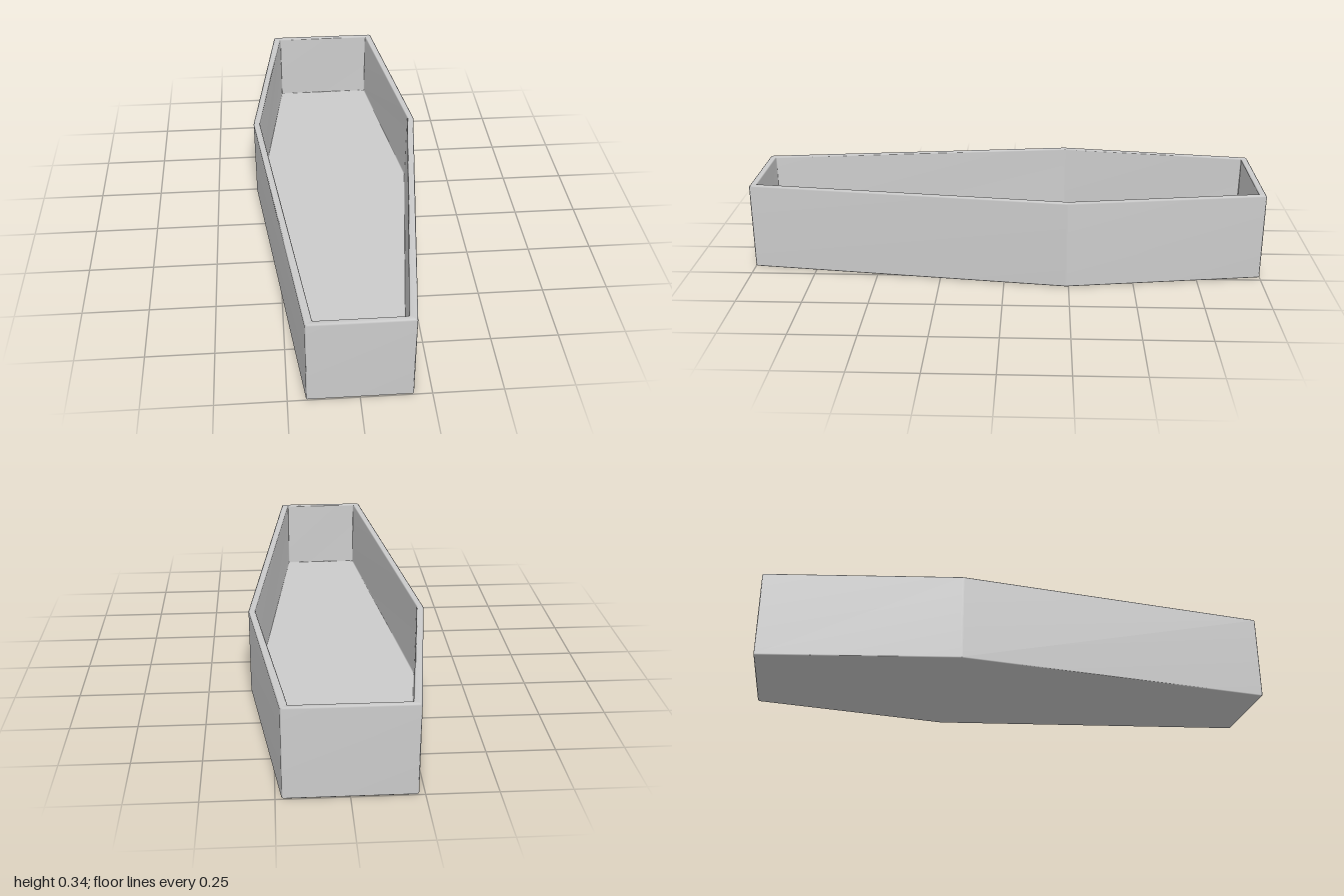
import * as THREE from 'three';

const HEIGHT = 0.342, WALL = 0.026, FLOOR = 0.05, BEVEL = 0.004;

// Six-sided plan, counter-clockwise from above: [x, z, inward z direction]
const PLAN = [
  [0.185, 1, -1], [0.335, -0.24, 0], [0.228, -1, 1],
  [-0.228, -1, 1], [-0.335, -0.24, 0], [-0.185, 1, -1],
];

// Plan moved inwards by inset, each corner cut by a small bevel
function ring(inset, y) {
  const corners = PLAN.map(([x, z, dz]) =>
    new THREE.Vector3(x - Math.sign(x) * inset, y, z + dz * inset));
  const n = corners.length;
  return corners.flatMap((p, i) => [corners[(i + n - 1) % n], corners[(i + 1) % n]].map(q =>
    p.clone().addScaledVector(q.clone().sub(p).normalize(), BEVEL)));
}

// Skin running up the outside, over the rim and down to the inner floor
function shellGeometry() {
  const profile = [
    [BEVEL, 0], [0, BEVEL],
    [0, HEIGHT - BEVEL], [BEVEL, HEIGHT],
    [WALL - BEVEL, HEIGHT], [WALL, HEIGHT - BEVEL],
    [WALL, FLOOR + BEVEL], [WALL + BEVEL, FLOOR],
  ];
  const points = profile.flatMap(([inset, y]) => ring(inset, y));
  const n = PLAN.length * 2, last = (profile.length - 1) * n;
  const under = points.length, inside = under + 1;
  points.push(new THREE.Vector3(0, 0, 0), new THREE.Vector3(0, FLOOR, 0));

  const index = [];
  for (let i = 0; i < n; i++) {
    const j = (i + 1) % n;
    for (let r = 0; r < last; r += n) {
      index.push(r + i, r + j, r + n + j, r + i, r + n + j, r + n + i);
    }
    index.push(under, j, i); // underside
    index.push(last + i, last + j, inside); // inner floor
  }
  const geometry = new THREE.BufferGeometry().setFromPoints(points);
  geometry.setIndex(index);
  geometry.computeVertexNormals(); // area weighting keeps the big faces flat
  return geometry;
}

export function createModel() {
  const group = new THREE.Group();
  group.name = 'openCoffin';
  const shell = new THREE.Mesh(shellGeometry(), new THREE.MeshStandardMaterial({ color: 0xcccccc }));
  shell.name = 'coffinShell';
  group.add(shell);
  return group;
}
